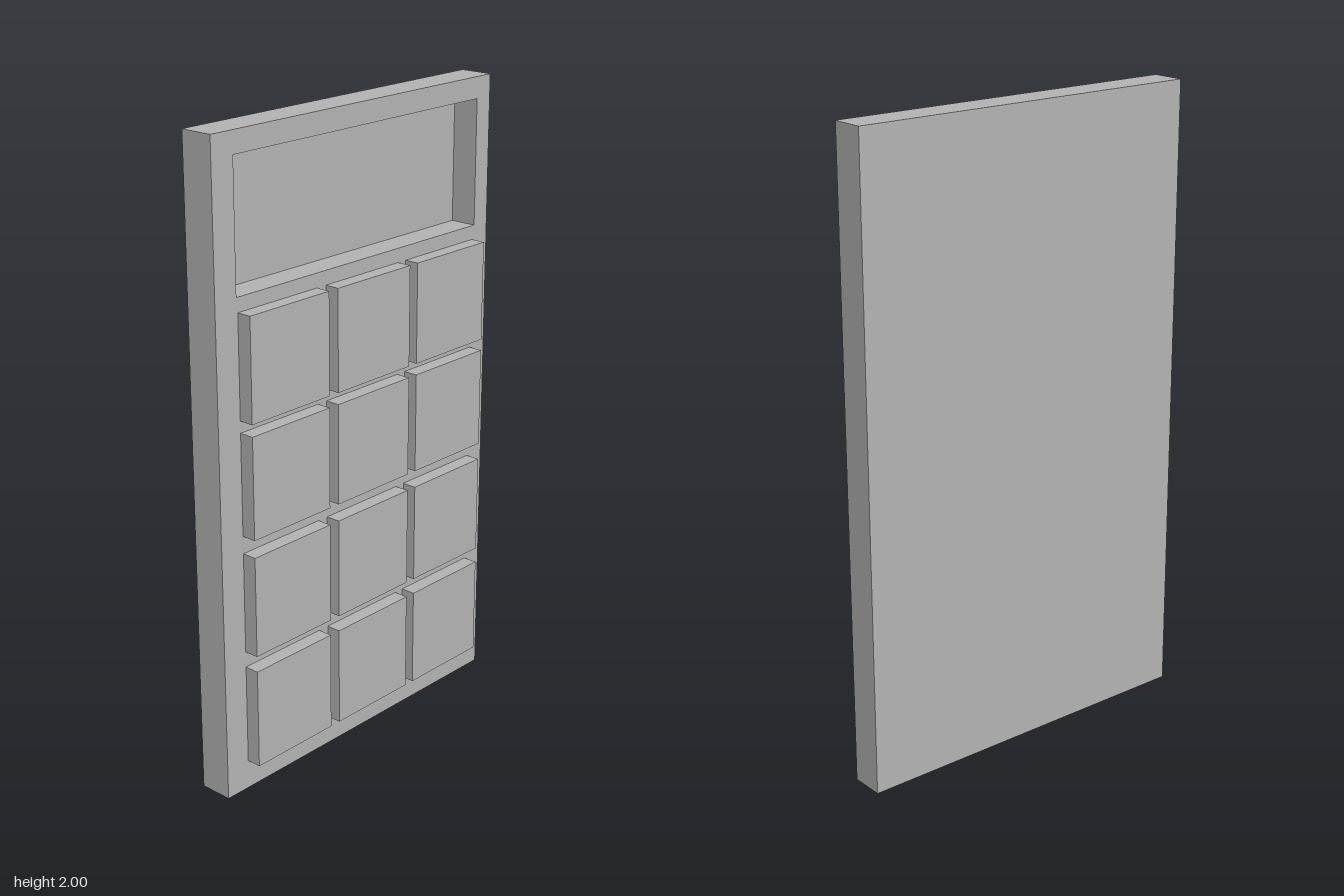
import * as THREE from 'three';

const BACK = -0.077, FRONT = 0.03, KEY_FRONT = 0.077, FLOOR = -0.057;

// Closed rectangle path from opposite corners
function rectangle(path, x0, y0, x1, y1) {
  path.moveTo(x0, y0);
  path.lineTo(x1, y0);
  path.lineTo(x1, y1);
  path.lineTo(x0, y1);
  path.closePath();
  return path;
}

export function createModel() {
  const model = new THREE.Group();
  model.name = 'keypad';
  const grey = new THREE.MeshStandardMaterial({ color: 0xb2b2b2 });
  grey.name = 'plain grey';

  function add(name, geometry, x, y, z) {
    const mesh = new THREE.Mesh(geometry, grey);
    mesh.name = name;
    mesh.position.set(x, y, z);
    model.add(mesh);
  }

  // Case with a rectangular display opening
  const outline = rectangle(new THREE.Shape(), -0.587, 0, 0.587, 2);
  outline.holes.push(rectangle(new THREE.Path(), -0.506, 1.54, 0.526, 1.933));
  const caseBody = new THREE.ExtrudeGeometry(outline, { depth: FRONT - BACK, bevelEnabled: false });
  add('case', caseBody, 0, 0, BACK);

  // Display floor closing the opening, flush with the back
  const floor = new THREE.BoxGeometry(1.032, 0.393, FLOOR - BACK);
  add('displayFloor', floor, 0.01, 1.7365, (FLOOR + BACK) / 2);

  // Four rows of three raised square keys
  const key = new THREE.BoxGeometry(0.316, 0.316, KEY_FRONT - FRONT);
  [1.338, 0.986, 0.616, 0.25].forEach((y, row) => {
    [-0.344, 0.009, 0.359].forEach((x, column) => {
      add(`key${row * 3 + column + 1}`, key, x, y, (KEY_FRONT + FRONT) / 2);
    });
  });

  return model;
}
